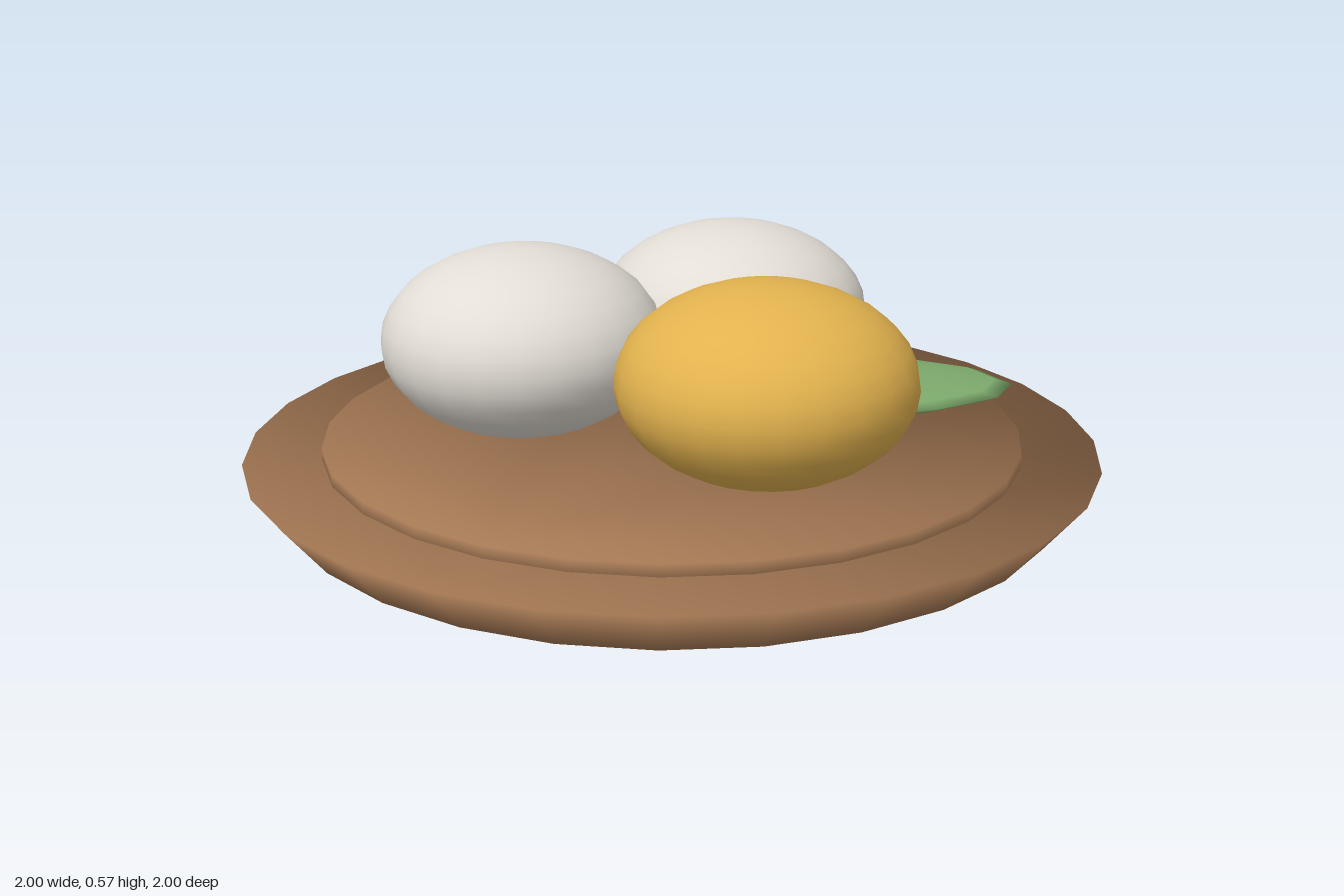
import * as THREE from 'three';

const SIDES = 28;

// Solid disc with one shared, softly rounded normal per rim vertex.
// Each ring is [radius, height, upward tilt of the normal].
function softDisc(bottom, top) {
  const pos = [], nor = [], idx = [];
  for (const [r, y, tilt] of [bottom, top]) {
    const len = Math.hypot(1, tilt);
    for (let i = 0; i < SIDES; i++) {
      const a = (i / SIDES) * Math.PI * 2;
      pos.push(Math.sin(a) * r, y, Math.cos(a) * r);
      nor.push(Math.sin(a) / len, tilt / len, Math.cos(a) / len);
    }
  }
  for (let i = 0; i < SIDES; i++) {
    const j = (i + 1) % SIDES;
    idx.push(i, j, SIDES + j, i, SIDES + j, SIDES + i);
    if (i > 0 && i < SIDES - 1) {
      idx.push(0, j, i, SIDES, SIDES + i, SIDES + j); // bottom and top caps
    }
  }
  const geo = new THREE.BufferGeometry();
  geo.setAttribute('position', new THREE.Float32BufferAttribute(pos, 3));
  geo.setAttribute('normal', new THREE.Float32BufferAttribute(nor, 3));
  geo.setIndex(idx);
  return geo;
}

function material(name, color) {
  const m = new THREE.MeshStandardMaterial({ color });
  m.name = name;
  return m;
}

export function createModel() {
  const group = new THREE.Group();
  const wood = material('brown wood', 0xa87b56);
  const white = material('cream white', 0xe2ddd5);
  const yellow = material('golden yellow', 0xe2b24e);
  const green = material('leaf green', 0x7daa6c);

  function add(name, geo, mat) {
    const mesh = new THREE.Mesh(geo, mat);
    mesh.name = name;
    group.add(mesh);
    return mesh;
  }

  // Plate with a flared rim and a raised centre
  add('plate', softDisc([0.91, 0, -2], [1, 0.112, 0.3]), wood);
  add('plateCentre', softDisc([0.82, 0.1, -0.6], [0.82, 0.14, 0.6]), wood);

  // Three flattened dumplings, touching at the middle
  for (const [name, x, z, mat] of [
    ['leftDumpling', 0.325, 0.18, yellow],
    ['rightDumpling', -0.325, 0.135, white],
    ['backDumpling', 0, -0.325, white],
  ]) {
    const ball = add(name, new THREE.SphereGeometry(1, 24, 16), mat);
    ball.scale.set(0.335, 0.222, 0.335);
    ball.position.set(x, 0.348, z);
  }

  // Thin leaf lying under the dumplings
  const leaf = add('leaf', new THREE.SphereGeometry(1, 14, 8), green);
  leaf.scale.set(0.56, 0.035, 0.245);
  leaf.rotation.y = 0.5;
  leaf.position.set(0.17, 0.185, -0.28);

  return group;
}
